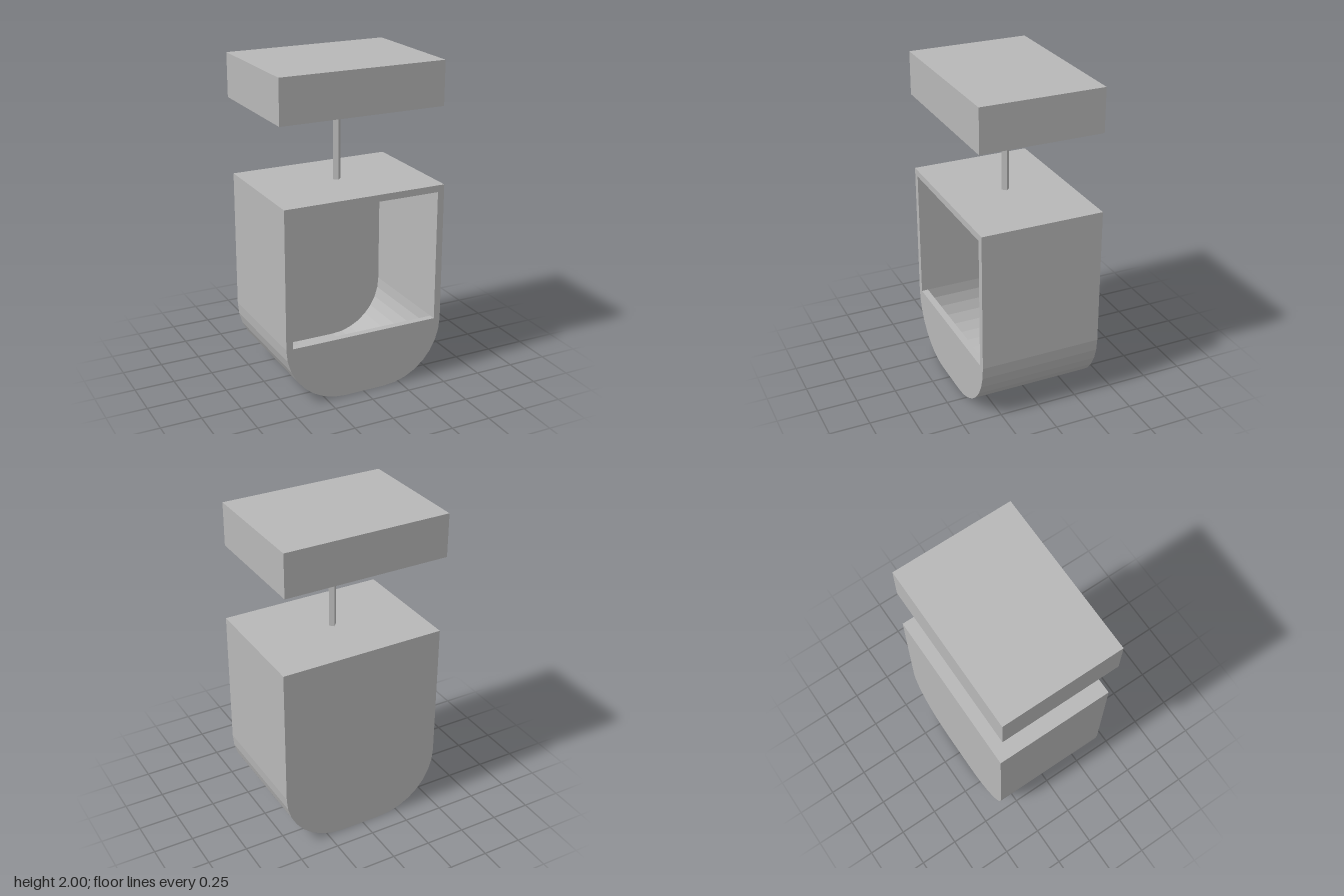
import * as THREE from 'three';

const BODY_X = 0.01; // body axis offset
const HALF_W = 0.52;
const TOP = 1.25;
const RADIUS = 0.385;
const WALL = 0.042;
const DEPTH = 0.38; // half depth

// Square-topped outline with rounded lower corners, shrunk evenly by inset
function bucketOutline(PathType, inset) {
  const w = HALF_W - inset;
  const r = RADIUS - inset;
  const cx = HALF_W - RADIUS;
  const p = new PathType();
  p.moveTo(-w, TOP - inset);
  p.lineTo(-w, RADIUS);
  p.absarc(-cx, RADIUS, r, Math.PI, Math.PI * 1.5, false);
  p.absarc(cx, RADIUS, r, Math.PI * 1.5, Math.PI * 2, false);
  p.lineTo(w, TOP - inset);
  p.closePath();
  return p;
}

// Rectangular front opening above the lip
function openingOutline() {
  const w = HALF_W - WALL;
  const p = new THREE.Path();
  p.moveTo(-w, RADIUS);
  p.lineTo(w, RADIUS);
  p.lineTo(w, TOP - WALL);
  p.lineTo(-w, TOP - WALL);
  p.closePath();
  return p;
}

export function createModel() {
  const grey = new THREE.MeshStandardMaterial({ color: 0xb8b8b8, flatShading: true });
  grey.name = 'grey';
  const model = new THREE.Group();
  model.name = 'hangingBucket';

  const add = (parent, name, geometry, x, y, z) => {
    const mesh = new THREE.Mesh(geometry, grey);
    mesh.name = name;
    mesh.position.set(x, y, z);
    parent.add(mesh);
  };

  // Hollow body: wall ring, closed back, front with opening
  const body = new THREE.Group();
  body.name = 'body';
  body.position.x = BODY_X;
  model.add(body);

  const slab = (name, hole, z0, z1) => {
    const shape = bucketOutline(THREE.Shape, 0);
    if (hole) shape.holes.push(hole);
    const geometry = new THREE.ExtrudeGeometry(shape, {
      depth: z1 - z0, bevelEnabled: false, curveSegments: 4,
    });
    add(body, name, geometry, 0, 0, z0);
  };
  slab('backWall', null, -DEPTH, -DEPTH + WALL);
  slab('sideWalls', bucketOutline(THREE.Path, WALL), -DEPTH + WALL, DEPTH - WALL);
  slab('frontFrame', openingOutline(), DEPTH - WALL, DEPTH);

  // Thin four-sided rod, turned edge-on to the front
  add(model, 'rod', new THREE.CylinderGeometry(0.024, 0.024, 0.5, 4), 0.008, 1.49, -0.003);

  // Solid block on top
  add(model, 'topBlock', new THREE.BoxGeometry(1.04, 0.27, DEPTH * 2), -0.01, 1.865, 0);

  return model;
}
